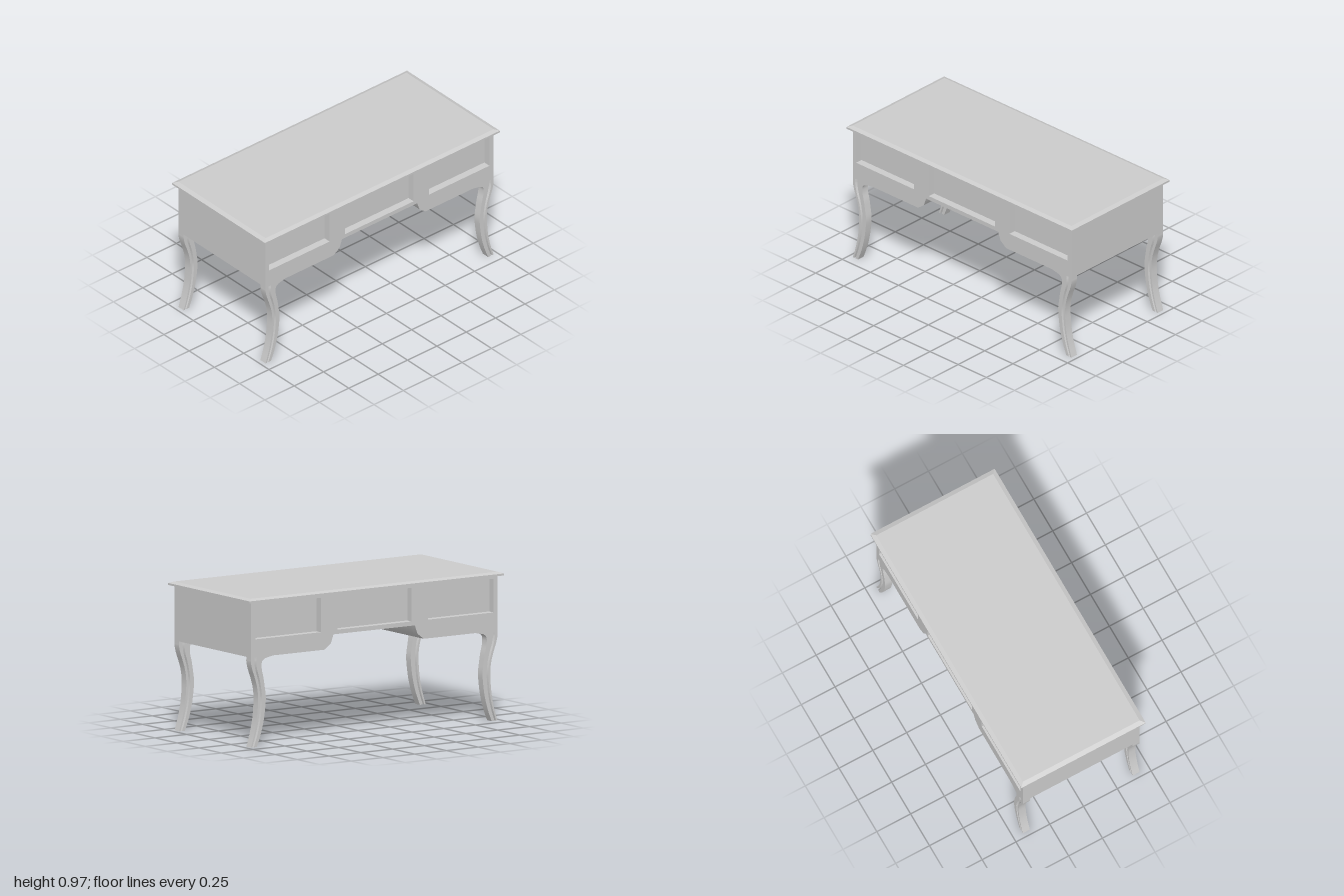
import * as THREE from 'three';
import { toCreasedNormals } from 'three/addons/utils/BufferGeometryUtils.js';

const material = new THREE.MeshStandardMaterial({ color: 0xcccccc });
const HALF_X = 0.97, HALF_Z = 0.432, APRON = 0.588, CASE_TOP = 0.95, RECESS = 0.05, LEG_DEPTH = 0.052;

function addMesh(parent, name, geometry) {
  const mesh = new THREE.Mesh(geometry, material);
  mesh.name = name;
  parent.add(mesh);
  return mesh;
}

// Front outline of the case, with the raised kneehole in the lower edge
function caseOutline() {
  const half = [[0.32, 0.682], [0.34, 0.626], [0.39, APRON], [HALF_X, APRON], [HALF_X, CASE_TOP]];
  const mirrored = half.map(([x, y]) => [-x, y]).reverse();
  return new THREE.Shape([...half, ...mirrored].map(([x, y]) => new THREE.Vector2(x, y)));
}

function rectanglePath(x0, x1, y0, y1) {
  return new THREE.Path([[x0, y0], [x0, y1], [x1, y1], [x1, y0]].map(([x, y]) => new THREE.Vector2(x, y)));
}

function extrude(shape, z0, z1) {
  const geometry = new THREE.ExtrudeGeometry(shape, { depth: z1 - z0, bevelEnabled: false });
  geometry.translate(0, 0, z0);
  return toCreasedNormals(geometry, 0.6);
}

// Slab whose upper edge is chamfered on all four sides
function tableTopGeometry() {
  const box = new THREE.BoxGeometry(2, 2, 0.92, 1, 2, 1);
  const p = box.attributes.position;
  for (let i = 0; i < p.count; i++) {
    const level = Math.round(p.getY(i)) + 1;
    p.setY(i, [CASE_TOP, 0.963, 0.974][level]);
    if (level === 2) {
      p.setX(i, Math.sign(p.getX(i)) * 0.97);
      p.setZ(i, Math.sign(p.getZ(i)) * 0.432);
    }
  }
  const geometry = box.toNonIndexed();
  geometry.computeVertexNormals();
  return geometry;
}

// Curved leg: a rectangular section with a groove front and back, lofted upwards
function legGeometry() {
  // height, outer x, width, extra flare on the inner side
  const stations = [
    [0, 0.97, 0.046, 0], [0.08, 0.945, 0.052, 0], [0.17, 0.925, 0.056, 0], [0.25, 0.916, 0.059, 0],
    [0.32, 0.913, 0.061, 0], [0.39, 0.921, 0.06, 0], [0.45, 0.938, 0.067, 0], [0.5, 0.956, 0.073, 0],
    [0.535, 0.966, 0.08, 0], [0.56, 0.97, 0.085, 0.006], [0.575, 0.97, 0.087, 0.025], [APRON, 0.97, 0.088, 0.085],
  ];
  const heightWidth = new THREE.CatmullRomCurve3(stations.map(([y, x, w]) => new THREE.Vector3(x, y, w)));
  const flare = new THREE.CatmullRomCurve3(stations.map(([y, , , f]) => new THREE.Vector3(f, y, 0)));
  const d = LEG_DEPTH / 2, floor = d - 0.014;
  // fraction of the width from the outer edge, and depth
  const front = [[0, d], [0.24, d], [0.31, floor], [0.44, floor], [0.51, d], [1, d]];
  const section = [...front, ...front.map(([u, z]) => [u, -z]).reverse()];
  const steps = 44, rings = [];
  for (let i = 0; i <= steps; i++) {
    const a = heightWidth.getPoint(i / steps), f = Math.max(0, flare.getPoint(i / steps).x);
    rings.push(section.map(([u, z]) => [a.x - u * a.z - (u === 1 ? f : 0), a.y, z]));
  }
  // Every section edge gets its own strip, so long edges stay sharp
  const positions = [], index = [];
  section.forEach((_, k) => {
    const base = positions.length / 3, next = (k + 1) % section.length;
    rings.forEach((ring) => positions.push(...ring[k], ...ring[next]));
    for (let i = 0; i < steps; i++) {
      const a = base + i * 2;
      index.push(a, a + 2, a + 1, a + 1, a + 2, a + 3);
    }
  });
  // Foot and upper end caps
  [[0, false], [steps, true]].forEach(([i, up]) => {
    const base = positions.length / 3;
    rings[i].forEach((point) => positions.push(...point));
    const outline = rings[i].map(([x, , z]) => new THREE.Vector2(x, z));
    for (const [a, b, c] of THREE.ShapeUtils.triangulateShape(outline, [])) {
      const [p, q, r] = [outline[a], outline[b], outline[c]];
      const facesUp = (q.x - p.x) * (r.y - p.y) - (q.y - p.y) * (r.x - p.x) < 0;
      index.push(base + a, ...(facesUp === up ? [base + b, base + c] : [base + c, base + b]));
    }
  });
  const geometry = new THREE.BufferGeometry();
  geometry.setAttribute('position', new THREE.Float32BufferAttribute(positions, 3));
  geometry.setIndex(index);
  geometry.computeVertexNormals();
  return geometry;
}

export function createModel() {
  const desk = new THREE.Group();
  desk.name = 'desk';

  addMesh(desk, 'tableTop', tableTopGeometry());

  // Solid case between two faces with recessed drawer openings
  const inner = HALF_Z - RECESS;
  addMesh(desk, 'caseCore', extrude(caseOutline(), -inner, inner));
  const face = caseOutline();
  face.holes.push(
    rectanglePath(-0.94, -0.425, 0.71, 0.93),
    rectanglePath(-0.295, 0.29, 0.71, 0.93),
    rectanglePath(0.42, 0.935, 0.705, 0.93),
  );
  addMesh(desk, 'frontDrawerFrame', extrude(face, inner, HALF_Z));
  addMesh(desk, 'backDrawerFrame', extrude(face, -HALF_Z, -inner));

  // Legs on the left, then the same pair turned around for the right
  const leg = legGeometry();
  for (const [side, turn] of [['left', 0], ['right', Math.PI]]) {
    const pair = new THREE.Group();
    pair.name = side + 'Legs';
    for (const s of [1, -1]) {
      const isFront = (s > 0) === (turn === 0);
      addMesh(pair, side + (isFront ? 'FrontLeg' : 'BackLeg'), leg).position.z = s * (HALF_Z - LEG_DEPTH / 2);
    }
    pair.rotation.y = turn;
    desk.add(pair);
  }
  return desk;
}
